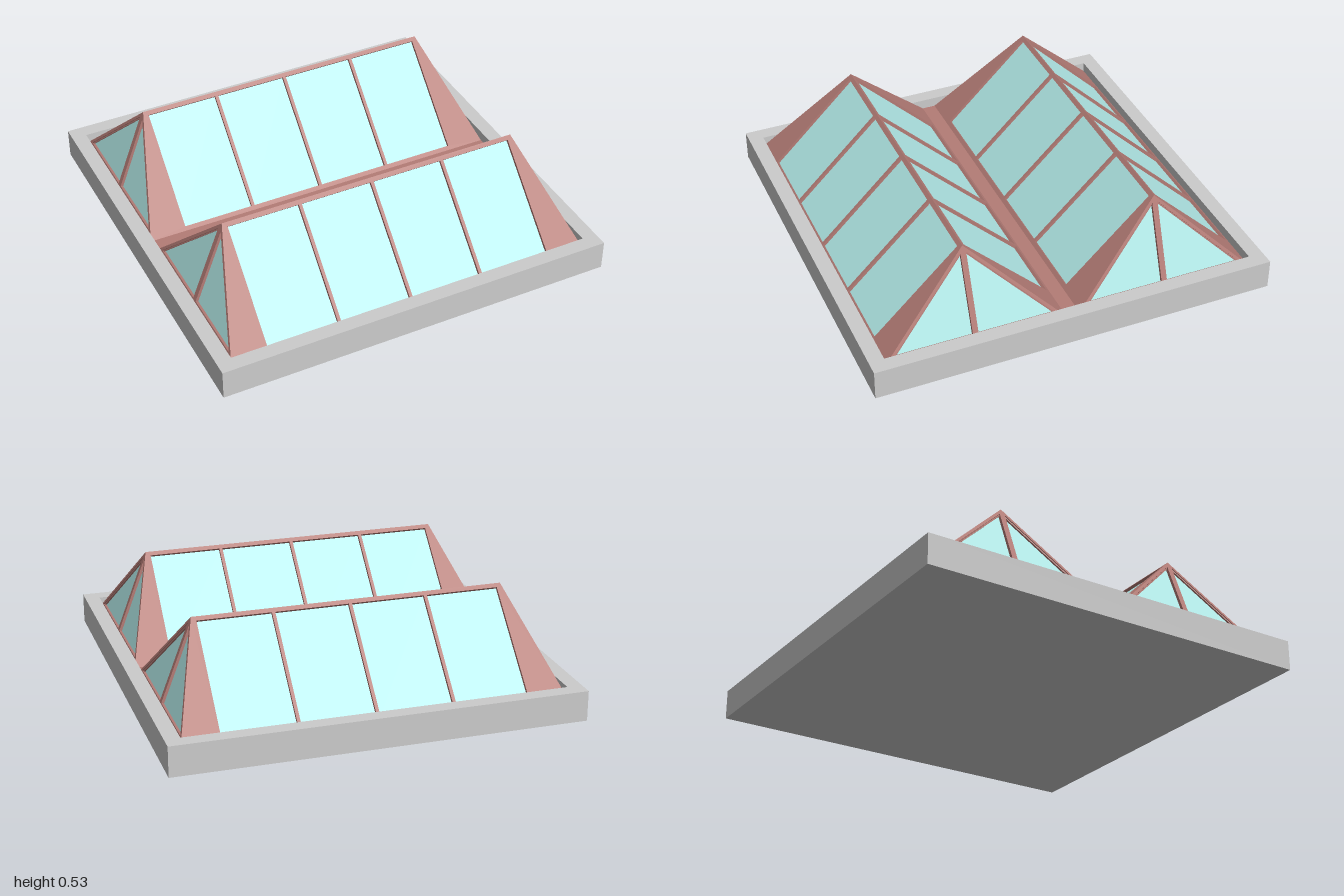
import * as THREE from 'three';

const curbMat = new THREE.MeshStandardMaterial({ color: 0xcccccc, flatShading: true });
const frameMat = new THREE.MeshStandardMaterial({ color: 0xb47c76, flatShading: true });
const glassMat = new THREE.MeshStandardMaterial({ color: 0xb4ecea, side: THREE.DoubleSide });

const EAVE = 0.1, RISE = 0.433, RIDGE_Z = 0.48, INNER = 0.926, RIDGE_HALF = 0.76;
const FRAME_DEPTH = 0.022, RECESS = 0.014;

const poly = (pts) => new THREE.Shape(pts.map(([x, y]) => new THREE.Vector2(x, y)));

function addMesh(parent, name, geometry, material) {
  const mesh = new THREE.Mesh(geometry, material);
  mesh.name = name;
  parent.add(mesh);
  return mesh;
}

// One sloping side: a frame slab with openings and a recessed pane in each opening
function slope(name, outline, openings, distance, run, turn) {
  const side = new THREE.Group();
  side.name = name;
  side.rotation.y = turn;
  const panel = new THREE.Group();
  panel.name = name + 'Panel';
  panel.position.set(0, EAVE, distance);
  panel.rotation.x = -Math.atan2(run, RISE);
  side.add(panel);
  const frameShape = poly(outline);
  openings.forEach((pts) => {
    frameShape.holes.push(poly(pts));
    addMesh(panel, 'glassPane', new THREE.ShapeGeometry(poly(pts)), glassMat).position.z = -RECESS;
  });
  const frameGeo = new THREE.ExtrudeGeometry(frameShape, { depth: FRAME_DEPTH, bevelEnabled: false });
  addMesh(panel, 'glazingFrame', frameGeo, frameMat).position.z = -FRAME_DEPTH;
  return side;
}

// Hipped skylight with two long four-pane slopes and two triangular ends
function skylight(name) {
  const roof = new THREE.Group();
  roof.name = name;
  const halfDepth = INNER - RIDGE_Z;

  const longLen = Math.hypot(RISE, halfDepth);
  const longOutline = [[-INNER, 0], [INNER, 0], [RIDGE_HALF, longLen], [-RIDGE_HALF, longLen]];
  const panes = [];
  const pitch = 0.373, bar = 0.008;
  for (let i = -2; i < 2; i++) {
    const a = i * pitch + bar, b = (i + 1) * pitch - bar;
    panes.push([[a, 0.022], [b, 0.022], [b, longLen - 0.022], [a, longLen - 0.022]]);
  }

  const endRun = INNER - RIDGE_HALF;
  const endLen = Math.hypot(RISE, endRun);
  const endOutline = [[-halfDepth, 0], [halfDepth, 0], [0, endLen]];
  // Triangular panes either side of a central bar
  const bottom = 0.035, inset = 0.02, mid = 0.014;
  const edgeX = (y) => halfDepth * (1 - y / endLen) - inset;
  const topY = endLen * (1 - (mid + inset) / halfDepth);
  const endPanes = [1, -1].map((s) => [[s * mid, bottom], [s * edgeX(bottom), bottom], [s * mid, topY]]);

  for (const back of [0, 1]) {
    const turn = back * Math.PI;
    roof.add(slope(back ? 'backSlope' : 'frontSlope', longOutline, panes, halfDepth, halfDepth, turn));
    roof.add(slope(back ? 'rightEnd' : 'leftEnd', endOutline, endPanes, INNER, endRun, turn + Math.PI / 2));
  }
  return roof;
}

export function createModel() {
  const model = new THREE.Group();
  model.name = 'doubleRidgeSkylight';

  // Square curb with a sunken floor
  const ring = poly([[-1, -1], [1, -1], [1, 1], [-1, 1]]);
  ring.holes.push(poly([[-INNER, -INNER], [-INNER, INNER], [INNER, INNER], [INNER, -INNER]]));
  const curbGeo = new THREE.ExtrudeGeometry(ring, { depth: 0.15, bevelEnabled: false });
  curbGeo.rotateX(-Math.PI / 2);
  addMesh(model, 'curb', curbGeo, curbMat);
  addMesh(model, 'curbFloor', new THREE.BoxGeometry(2 * INNER, 0.08, 2 * INNER), curbMat).position.y = 0.04;

  // Flat gutter between the two roofs
  const gutterWidth = 2 * (2 * RIDGE_Z - INNER);
  addMesh(model, 'valleyGutter', new THREE.BoxGeometry(2 * INNER, 0.02, gutterWidth), frameMat).position.y = EAVE - 0.01;

  for (const s of [1, -1]) {
    const roof = skylight(s > 0 ? 'frontSkylight' : 'backSkylight');
    roof.position.z = s * RIDGE_Z;
    model.add(roof);
  }
  return model;
}
